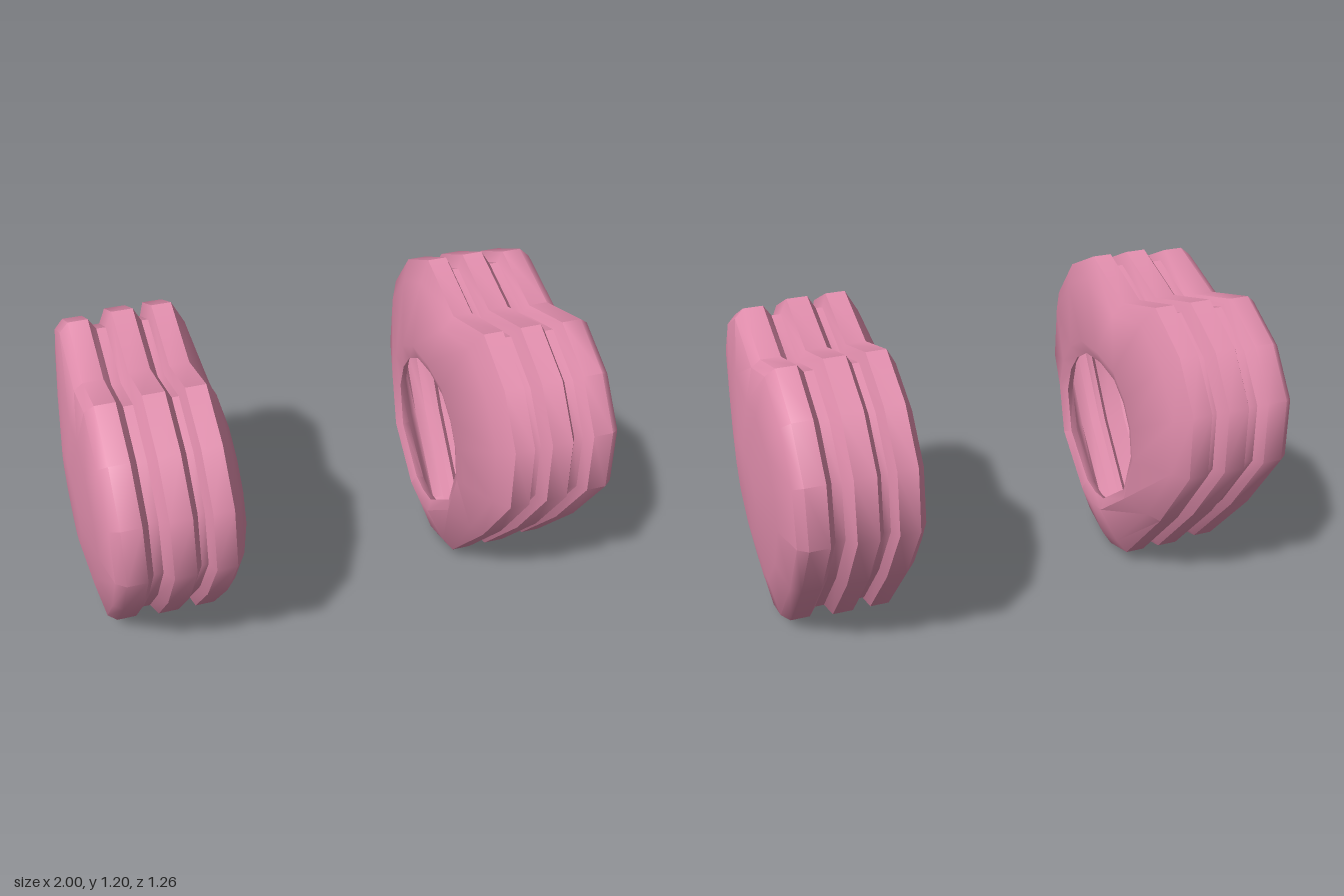
import * as THREE from 'three';
import { toCreasedNormals } from 'three/addons/utils/BufferGeometryUtils.js';

// Heart outline as [z, y] around its middle, one half from notch to tip
const half = [[0, 0.51], [0.28, 0.6], [0.49, 0.49], [0.625, 0.31], [0.63, 0.06], [0.425, -0.24], [0.153, -0.55], [0, -0.597]];
const outline = [...half, ...half.slice(1, -1).reverse().map(([z, y]) => [-z, y])];

// Cross-sections from outer face to cavity floor: [x, scale, roundness]
const sections = [
  // domed outer face
  [1, 0, 0.6], [1, 0.3, 0.6], [0.97, 0.65, 0.25], [0.94, 0.93, 0], [0.905, 0.98, 0], [0.83, 0.98, 0],
  // grooves and ridges
  [0.805, 0.92, 0], [0.77, 0.92, 0], [0.74, 1, 0], [0.66, 1, 0],
  [0.635, 0.925, 0], [0.61, 0.925, 0], [0.59, 1, 0], [0.515, 1, 0],
  // inner shoulder, rim and opening
  [0.475, 0.89, 0.1], [0.415, 0.58, 0.8], [0.432, 0.5, 0.85], [0.465, 0.54, 0.8],
  // cavity following the ridges
  [0.51, 0.84, 0.1], [0.54, 0.92, 0], [0.585, 0.92, 0], [0.61, 0.85, 0], [0.635, 0.85, 0],
  [0.66, 0.92, 0], [0.74, 0.92, 0], [0.77, 0.85, 0], [0.805, 0.85, 0], [0.83, 0.9, 0],
  [0.9, 0.88, 0], [0.935, 0.6, 0.3], [0.95, 0.3, 0.6], [0.95, 0, 0.6],
];

function heartShell(side) {
  const positions = [], index = [], n = outline.length;
  for (const [x, scale, round] of sections) {
    for (const [z, y] of outline) {
      // blend the heart towards an oval
      const angle = Math.atan2(z, y);
      const pz = THREE.MathUtils.lerp(z, 0.62 * Math.sin(angle), round);
      const py = THREE.MathUtils.lerp(y, 0.6 * Math.cos(angle), round);
      positions.push(side * x, 0.6 - 0.03 * round + py * scale, pz * scale);
    }
  }
  for (let i = 0; i < sections.length - 1; i++) {
    for (let j = 0; j < n; j++) {
      const k = (j + 1) % n;
      const a = i * n + j, b = i * n + k, c = a + n, d = b + n;
      // skip collapsed triangles at the two closed ends
      const tris = [];
      if (sections[i][1] > 0) tris.push([a, c, b]);
      if (sections[i + 1][1] > 0) tris.push([b, c, d]);
      for (const [p, q, r] of tris) index.push(...(side > 0 ? [p, q, r] : [p, r, q]));
    }
  }
  const geometry = new THREE.BufferGeometry();
  geometry.setAttribute('position', new THREE.Float32BufferAttribute(positions, 3));
  geometry.setIndex(index);
  return toCreasedNormals(geometry, 0.78);
}

export function createModel() {
  const group = new THREE.Group();
  group.name = 'heartEarCups';
  const pink = new THREE.MeshStandardMaterial({ color: 0xe08dac });
  pink.name = 'pink';
  for (const side of [1, -1]) {
    const cup = new THREE.Mesh(heartShell(side), pink);
    cup.name = side > 0 ? 'leftHeartCup' : 'rightHeartCup';
    group.add(cup);
  }
  return group;
}
